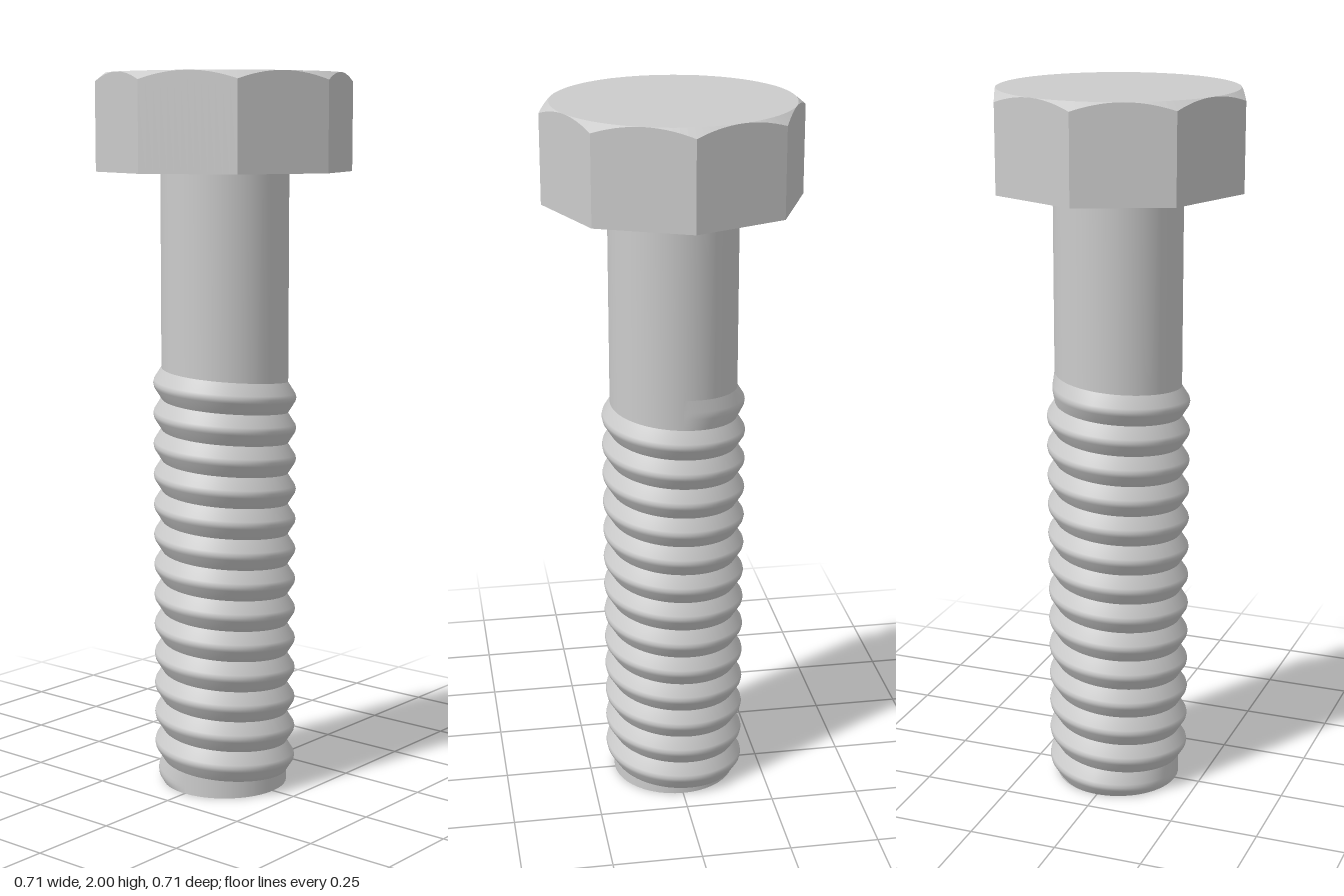
import * as THREE from 'three';

const SHAFT_R = 0.177, CREST_R = 0.2, PITCH = 0.0865;
const HEAD_BOTTOM = 1.735, CORNER_R = 0.353, SIDES = 8;

// Octagonal head: a lathe whose outer rings are pushed out to an octagon,
// with the top rim cut by a conical chamfer.
function headGeometry() {
  const apothem = CORNER_R * Math.cos(Math.PI / SIDES);
  const profile = [[0, HEAD_BOTTOM], [1, HEAD_BOTTOM], [1, 1.97], [apothem - 0.001, 2], [0, 2]]
    .map(([r, y]) => new THREE.Vector2(r, y));
  const lathe = new THREE.LatheGeometry(profile, SIDES * 14);
  const pos = lathe.attributes.position;
  const sector = 2 * Math.PI / SIDES;
  for (let i = 0; i < pos.count; i++) {
    const x = pos.getX(i), y = pos.getY(i), z = pos.getZ(i);
    if (Math.hypot(x, z) < 0.9) continue;
    const a = Math.atan2(x, z) + 2 * Math.PI;
    const r = apothem / Math.cos((a % sector) - sector / 2);
    const rim = 2 - (r - apothem) * 0.85;
    pos.setXYZ(i, x * r, y > HEAD_BOTTOM + 0.01 ? rim : y, z * r);
  }
  const flat = lathe.toNonIndexed();
  flat.computeVertexNormals();
  return flat;
}

// Helical ridge: a rounded V section swept around the shaft, fading at both ends.
function threadGeometry() {
  const section = [[-0.5, 0], [-0.12, 0.9], [0, 1], [0.12, 0.9], [0.5, 0]]; // [pitches, height]
  const start = -Math.PI, end = 26 * Math.PI, fade = Math.PI / 2;
  const steps = 27 * 48, n = section.length;
  const positions = [], index = [];
  for (let i = 0; i <= steps; i++) {
    const t = start + (end - start) * i / steps;
    const k = Math.min(1, (t - start) / fade, (end - t) / fade);
    const mid = 0.06 + PITCH * t / (2 * Math.PI);
    for (const [dy, h] of section) {
      const r = SHAFT_R + (CREST_R - SHAFT_R) * h * k;
      positions.push(r * Math.cos(t), Math.max(0, mid + dy * PITCH), r * Math.sin(t));
    }
    if (i === steps) break;
    for (let j = 0; j < n - 1; j++) {
      const a = i * n + j, b = a + n;
      index.push(a, a + 1, b, b, a + 1, b + 1);
    }
  }
  const geometry = new THREE.BufferGeometry();
  geometry.setAttribute('position', new THREE.Float32BufferAttribute(positions, 3));
  geometry.setIndex(index);
  geometry.computeVertexNormals();
  return geometry;
}

export function createModel() {
  const group = new THREE.Group();
  group.name = 'bolt';
  const grey = new THREE.MeshStandardMaterial({ color: 0xcccccc });
  const add = (name, geometry) => {
    const mesh = new THREE.Mesh(geometry, grey);
    mesh.name = name;
    group.add(mesh);
  };

  add('head', headGeometry());

  const shaft = new THREE.CylinderGeometry(SHAFT_R, SHAFT_R, HEAD_BOTTOM, 48);
  shaft.translate(0, HEAD_BOTTOM / 2, 0);
  add('shaft', shaft);

  add('thread', threadGeometry());
  return group;
}
